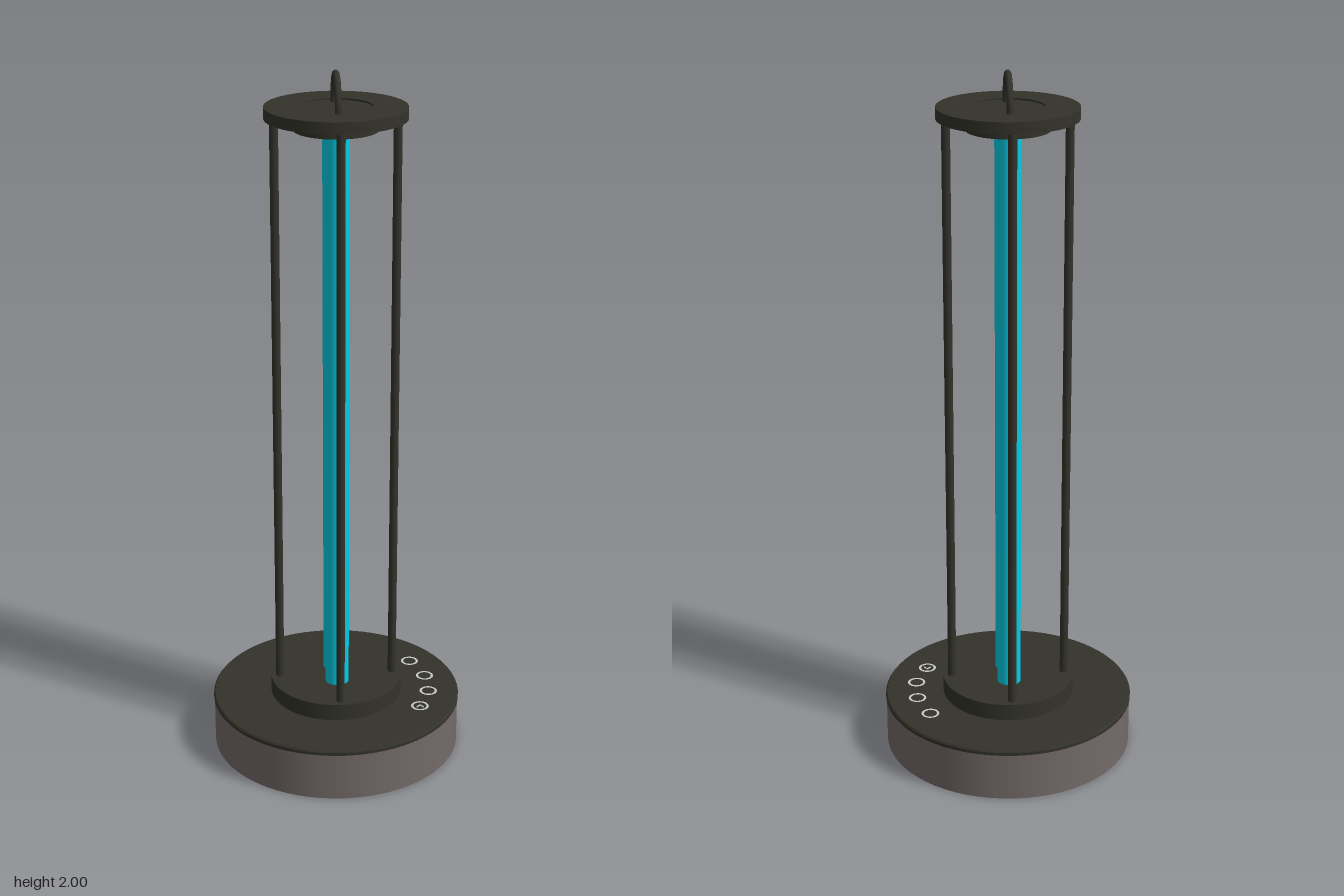
import * as THREE from 'three';

const mat = (name, color) => {
  const m = new THREE.MeshStandardMaterial({ color });
  m.name = name;
  return m;
};

export function createModel() {
  const model = new THREE.Group();
  const dark = mat('dark olive metal', 0x33322a);
  const grey = mat('warm grey housing', 0x736a68);
  const under = mat('grey underside', 0x606060);
  const cyan = mat('cyan lamp glass', 0x00d0ea);
  const pale = mat('pale button marking', 0xc8c8c4);

  const add = (name, geometry, material, x = 0, y = 0, z = 0) => {
    const mesh = new THREE.Mesh(geometry, material);
    mesh.name = name;
    mesh.position.set(x, y, z);
    model.add(mesh);
    return mesh;
  };
  // Upright cylinder spanning y0 to y1
  const post = (name, r, y0, y1, material, x = 0, z = 0, sides = 48) =>
    add(name, new THREE.CylinderGeometry(r, r, y1 - y0, sides), material, x, (y0 + y1) / 2, z);

  // Round base: grey wall and underside, dark lid with a small bevel
  post('baseHousing', 0.361, 0, 0.141, [grey, dark, under], 0, 0, 64);
  post('baseLid', 0.363, 0.141, 0.15, dark, 0, 0, 64);
  add('baseLidBevel', new THREE.CylinderGeometry(0.359, 0.363, 0.005, 64), dark, 0, 0.1525, 0);

  // Raised socket plate that holds the lamps and rods
  post('socketPlate', 0.192, 0.155, 0.205, dark);

  // Two lamp tubes side by side
  for (const side of [1, -1]) {
    post('lampTube', 0.034, 0.205, 1.85, cyan, 0, side * 0.043, 32);
  }

  // Four guard rods around the lamps
  for (let i = 0; i < 4; i++) {
    const a = i * Math.PI / 2;
    post('guardRod', 0.012, 0.2, 1.88, dark, 0.166 * Math.cos(a), 0.166 * Math.sin(a), 16);
  }

  // Top cap with a shallow round recess, and the lamp holder beneath it
  post('lampHolder', 0.115, 1.842, 1.877, dark);
  post('capPlate', 0.193, 1.873, 1.9, dark);
  const rim = new THREE.Shape().absarc(0, 0, 0.193, 0, Math.PI * 2);
  rim.holes.push(new THREE.Path().absarc(0, 0, 0.1, 0, Math.PI * 2, true));
  const rimGeo = new THREE.ExtrudeGeometry(rim, { depth: 0.005, bevelEnabled: false, curveSegments: 24 });
  rimGeo.rotateX(-Math.PI / 2);
  add('capRim', rimGeo, dark, 0, 1.9, 0);

  // Carrying loop: half ring on short legs, running front to back
  const loop = new THREE.TorusGeometry(0.077, 0.009, 12, 32, Math.PI);
  loop.rotateY(Math.PI / 2);
  add('carryLoop', loop, dark, 0, 1.914, 0);
  for (const side of [1, -1]) {
    post('carryLoopLeg', 0.009, 1.895, 1.914, dark, 0, side * 0.077, 12);
  }

  // Four ring-shaped button markings on the lid
  for (const [x, z] of [[0.236, 0.132], [0.271, 0.046], [0.271, -0.046], [0.236, -0.139]]) {
    const ring = new THREE.RingGeometry(0.019, 0.026, 24);
    ring.rotateX(-Math.PI / 2);
    add('buttonRing', ring, pale, x, 0.157, z);
  }

  // Small chevron inside the front button
  for (const side of [1, -1]) {
    const stroke = new THREE.BoxGeometry(0.004, 0.002, 0.016);
    add('buttonChevron', stroke, pale, 0.236 + side * 0.005, 0.156, 0.132).rotation.y = side * 0.7;
  }

  return model;
}
